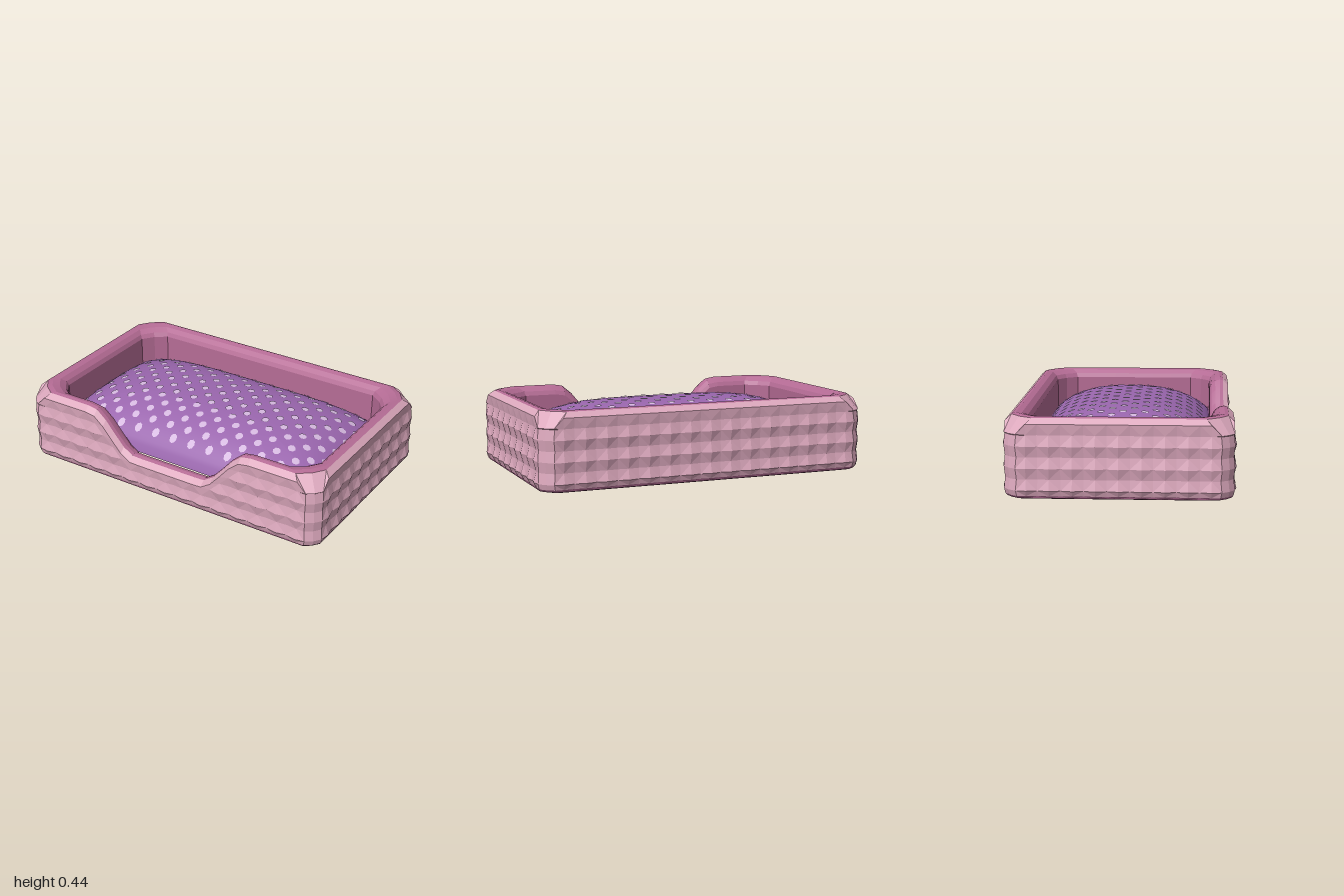
import * as THREE from 'three';
import { mergeGeometries, toCreasedNormals } from 'three/addons/utils/BufferGeometryUtils.js';

const HX = 0.995, HZ = 0.625, CORNER = 0.07;
const clamp = THREE.MathUtils.clamp;

// Rim height: the front wall dips to a low entrance
const rimHeight = (x, front) =>
  front ? 0.2 + 0.245 * THREE.MathUtils.smoothstep(Math.abs(x), 0.23, 0.53) : 0.445;

// Stations around the bed: four sides, each followed by a bevelled corner
function makeStations() {
  const list = [];
  for (let side = 0; side < 4; side++) {
    const long = side % 2 === 1;
    const n = long ? 30 : 18;
    const reach = (long ? HX : HZ) - CORNER;
    for (let i = 0; i <= n; i++) {
      const s = -reach + (2 * reach * i) / n;
      list.push({
        side, s, peak: i % 2 === 1, corner: i === 0 || i === n,
        top: rimHeight(s, side === 1),
      });
    }
    list.push({ side, mid: true, peak: false, corner: true, top: 0.445 });
  }
  return list;
}

// Point of a station on an outline inset by d with corner size c
function place(st, d, c, y) {
  const long = st.side % 2 === 1;
  const out = (long ? HZ : HX) - d, across = (long ? HX : HZ) - d;
  let a = out, b = clamp(st.s ?? 0, c - across, across - c);
  if (st.mid) {
    a = out - c * 0.42;
    b = across - c * 0.42;
  }
  if (st.side === 0) return new THREE.Vector3(a, y, b);
  if (st.side === 1) return new THREE.Vector3(-b, y, a);
  if (st.side === 2) return new THREE.Vector3(-a, y, -b);
  return new THREE.Vector3(b, y, -a);
}

// Flat-faced skin through closed rings of points; empty triangles are dropped
function skin(rings) {
  const pos = [];
  const tri = (a, b, c) => {
    const area = b.clone().sub(a).cross(c.clone().sub(a)).length();
    if (area > 1e-7) pos.push(...a, ...b, ...c);
  };
  for (let j = 0; j + 1 < rings.length; j++) {
    const lo = rings[j], hi = rings[j + 1], n = lo.length;
    for (let i = 0; i < n; i++) {
      const k = (i + 1) % n;
      if ((i + j) % 2) {
        tri(lo[i], hi[i], hi[k]);
        tri(lo[i], hi[k], lo[k]);
      } else {
        tri(lo[i], hi[i], lo[k]);
        tri(lo[k], hi[i], hi[k]);
      }
    }
  }
  const g = new THREE.BufferGeometry();
  g.setAttribute('position', new THREE.Float32BufferAttribute(pos, 3));
  g.computeVertexNormals();
  return g;
}

// Domed top of the cushion
function cushionHeight(x, z) {
  const u = Math.min(Math.abs(x) / 0.885, 1), v = Math.min(Math.abs(z) / 0.51, 1);
  return 0.18 + 0.23 * Math.pow((1 - u ** 4) * (1 - v ** 2.5), 0.65);
}

function cushionGeometry(stations) {
  const edge = stations.map((st) => place(st, 0.115, 0.12, 0));
  const n = edge.length, steps = 24, pos = [0, cushionHeight(0, 0), 0], index = [];
  for (let r = 1; r <= steps; r++) {
    const t = Math.pow(r / steps, 0.8);
    for (const p of edge) pos.push(p.x * t, cushionHeight(p.x * t, p.z * t), p.z * t);
  }
  for (let i = 0; i < n; i++) {
    const k = (i + 1) % n;
    index.push(0, 1 + k, 1 + i);
    for (let r = 0; r < steps - 1; r++) {
      const a = 1 + r * n + i, b = 1 + r * n + k;
      index.push(a, b, b + n, a, b + n, a + n);
    }
  }
  const g = new THREE.BufferGeometry();
  g.setAttribute('position', new THREE.Float32BufferAttribute(pos, 3));
  g.setIndex(index);
  g.computeVertexNormals();
  return g;
}

// Staggered polka dots laid on the dome
function dotsGeometry() {
  const dots = [];
  for (let row = -7; row <= 7; row++) {
    for (let col = -7; col <= 7; col++) {
      const x = (col + (row % 2 ? 0.5 : 0)) * 0.124, z = row * 0.062;
      if (Math.abs(x) > 0.84 || Math.abs(x) + Math.abs(z) > 1.2) continue;
      const g = new THREE.CircleGeometry(0.023, 8).rotateX(-Math.PI / 2).translate(x, 0, z);
      const p = g.attributes.position;
      for (let i = 0; i < p.count; i++) p.setY(i, cushionHeight(p.getX(i), p.getZ(i)) + 0.005);
      g.computeVertexNormals();
      dots.push(g);
    }
  }
  return mergeGeometries(dots);
}

export function createModel() {
  const material = (name, color) => {
    const m = new THREE.MeshStandardMaterial({ color });
    m.name = name;
    return m;
  };
  const pink = material('soft pink', 0xdca8bd);
  const rose = material('rose', 0xb56c95);
  const purple = material('purple', 0x9a66ae);
  const lavender = material('lavender', 0xd4b8de);

  const group = new THREE.Group();
  group.name = 'petBed';
  const add = (name, geometry, mat) => {
    const mesh = new THREE.Mesh(geometry, mat);
    mesh.name = name;
    group.add(mesh);
  };
  const stations = makeStations();
  const ring = (f) => stations.map((st) => place(st, ...f(st)));

  // Quilted outer wall: alternating puffed and pinched rows, cut off below the rim
  const rows = [0.02, 0.05, 0.11, 0.17, 0.23, 0.29, 0.35, 0.405];
  const wall = rows.map((y, j) => ring((st) => {
    const cap = st.top - (st.corner ? 0.09 : 0.035);
    if (y >= cap || j === rows.length - 1) return [0.008, CORNER, cap];
    const puffed = j % 2 === 1;
    if (st.corner) return [puffed ? 0.006 : 0.012, CORNER, y];
    if (puffed) return [st.peak ? -0.004 : 0.008, CORNER, y];
    return [st.peak ? 0.012 : 0.017, CORNER, y];
  }));
  // Sloped pink shoulder meeting the rim
  const shoulder = ring((st) => [0.04, 0.12, st.top - 0.006]);
  add('quiltedWall', skin([...wall, shoulder]), pink);

  // Rounded rim rolling over into the inner wall
  add('rim', toCreasedNormals(skin([
    shoulder,
    ring((st) => [0.06, 0.125, st.top]),
    ring((st) => [0.09, 0.125, st.top - 0.008]),
    ring((st) => [0.115, 0.125, st.top - 0.03]),
  ]), 0.35), rose);
  add('innerWall', skin([
    ring((st) => [0.115, 0.125, st.top - 0.03]),
    ring((st) => [0.127, 0.12, st.top - 0.055]),
    ring(() => [0.13, 0.12, 0.1]),
  ]), rose);

  // Base with a small bevel and a closed underside
  add('base', skin([
    stations.map(() => new THREE.Vector3()),
    ring(() => [0.04, CORNER, 0]),
    ring(() => [0.022, CORNER, 0.006]),
    wall[0],
  ]), rose);

  // Cushion and its printed dots
  add('cushion', cushionGeometry(stations), purple);
  add('cushionDots', dotsGeometry(), lavender);
  return group;
}
